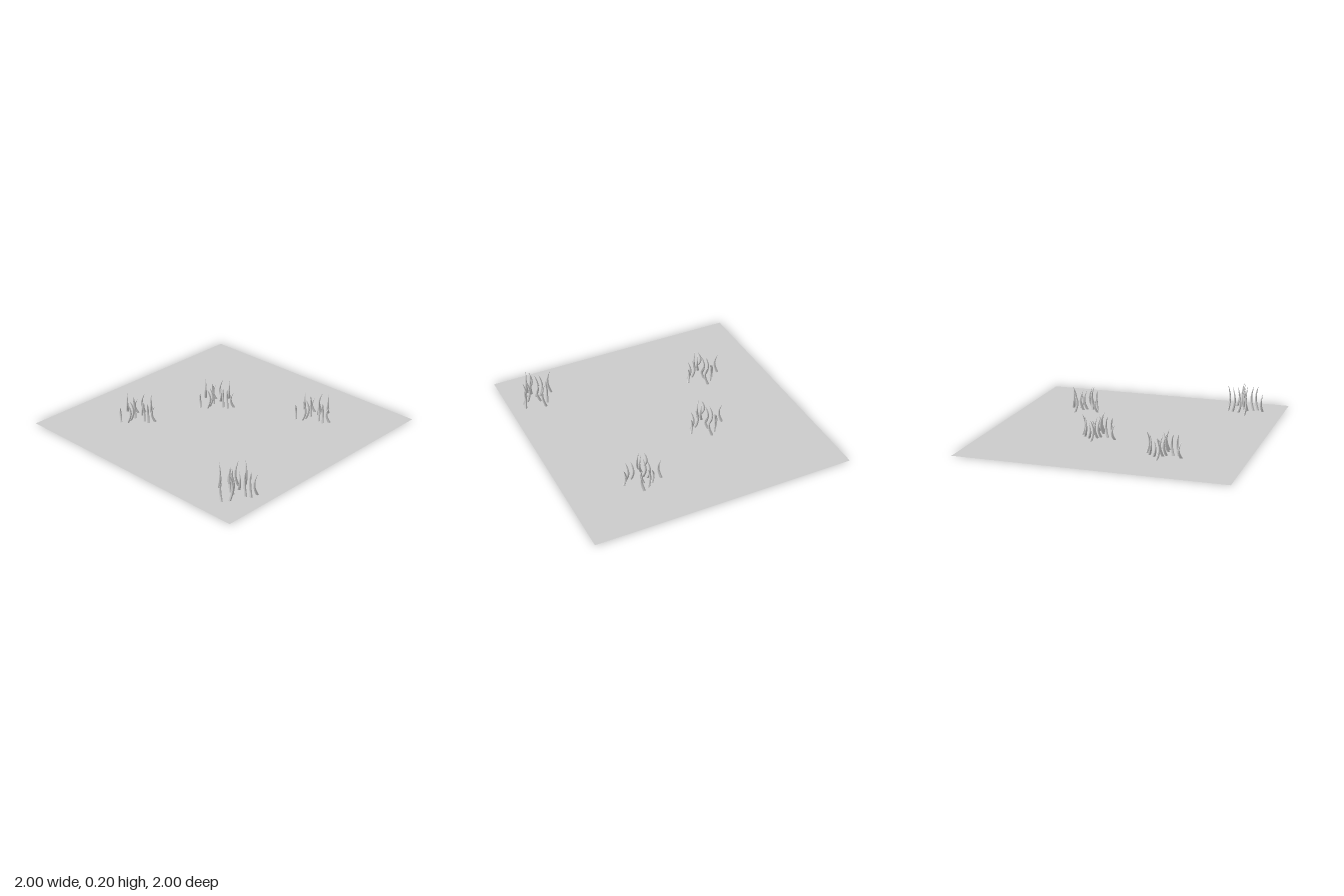
import * as THREE from 'three';

const grey = new THREE.MeshStandardMaterial({ color: 0xcccccc, flatShading: true, side: THREE.DoubleSide });

// Blade positions within one tuft: x, z, height, lean in x, lean in z
const BLADES = [
  [0, -0.105, 0.155, 1, -1], [-0.137, -0.03, 0.115, -1, 1], [-0.002, -0.027, 0.155, -1, 1],
  [0.04, -0.048, 0.115, 1, 1], [0.082, -0.016, 0.155, 1, 1], [-0.02, 0, 0.155, -1, 1],
  [-0.068, 0.022, 0.155, -1, -1], [-0.105, 0.032, 0.155, -1, -1], [0.034, 0.027, 0.115, 1, -1],
  [0.114, 0.037, 0.155, 1, -1], [-0.009, 0.09, 0.155, -1, 1], [-0.004, 0.128, 0.155, -1, 1],
  [0.03, 0.15, 0.125, 1, 1],
];

// Tufts: x, z, turn about y, height factor
const TUFTS = [
  [-0.398, -0.537, 0, 1], [0.18, -0.27, 0, 1],
  [0.534, 0.414, -0.25, 1], [-0.69, 0.744, 0.31, 1.26],
];

// Tapered blade whose middle bows inwards and whose tip curls out along +x and +z
function bladeGeometry(height, leanX, leanZ) {
  const geo = new THREE.CylinderGeometry(1, 1, 1, 6, 8);
  const p = geo.attributes.position;
  for (let i = 0; i < p.count; i++) {
    const t = p.getY(i) + 0.5;
    const radius = 0.0105 * Math.pow(1 - t, 0.55) + 0.0005;
    const bow = 0.008 - 0.016 * Math.sin(Math.PI * t);
    p.setXYZ(i, p.getX(i) * radius + bow * leanX, t * height, p.getZ(i) * radius + bow * leanZ);
  }
  geo.computeVertexNormals();
  return geo;
}

function makeTuft() {
  const tuft = new THREE.Group();
  for (const [x, z, height, leanX, leanZ] of BLADES) {
    const blade = new THREE.Mesh(bladeGeometry(height, leanX, leanZ), grey);
    blade.name = 'grassBlade';
    blade.position.set(x, 0, z);
    tuft.add(blade);
  }
  return tuft;
}

export function createModel() {
  const model = new THREE.Group();
  model.name = 'grassPatch';

  // Flat square of ground
  const ground = new THREE.Mesh(new THREE.PlaneGeometry(2, 2).rotateX(-Math.PI / 2), grey);
  ground.name = 'ground';
  model.add(ground);

  // Four copies of the grass tuft
  for (const [x, z, turn, tall] of TUFTS) {
    const tuft = makeTuft();
    tuft.name = 'grassTuft';
    tuft.position.set(x, 0, z);
    tuft.rotation.y = turn;
    tuft.scale.y = tall;
    model.add(tuft);
  }
  return model;
}
